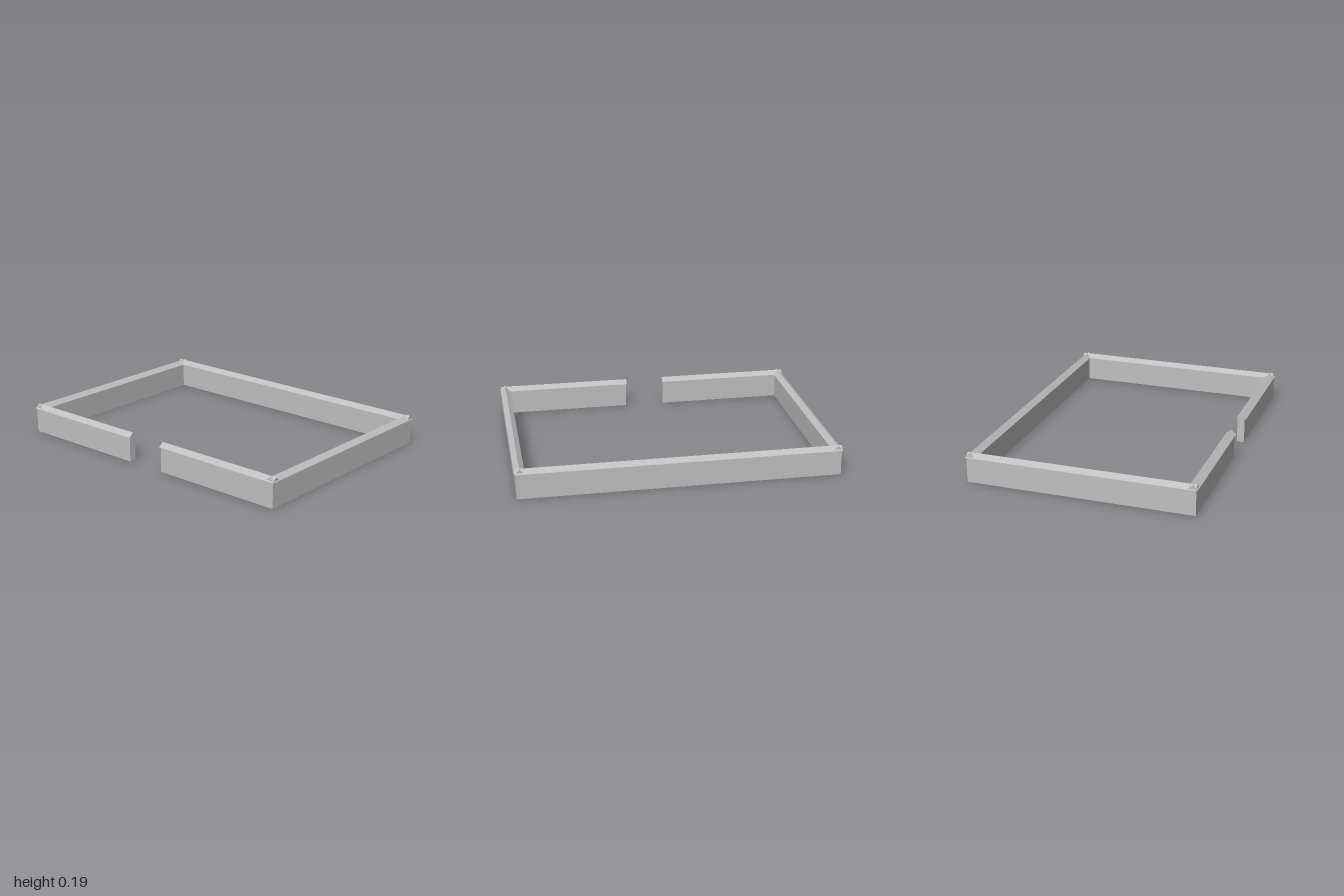
import * as THREE from 'three';

const WALL_H = 0.16, WALL_T = 0.047, CAP_W = 0.064, CAP_H = 0.026;
const CX = 0.968, CZ = 0.688; // wall centre lines
const GAP = 0.131, CAP_GAP = 0.126; // half widths of the entrance

export function createModel() {
  const group = new THREE.Group();
  const stone = new THREE.MeshStandardMaterial({ color: 0xc0c0c0 });
  stone.name = 'grey stone';

  // Gabled coping profile, extruded along the wall
  const gable = new THREE.Shape([
    new THREE.Vector2(-CAP_W / 2, 0),
    new THREE.Vector2(CAP_W / 2, 0),
    new THREE.Vector2(0, CAP_H),
  ]);

  const add = (name, geometry) => {
    const mesh = new THREE.Mesh(geometry, stone);
    mesh.name = name;
    group.add(mesh);
  };

  // One straight run of wall with its coping, along x or z
  const run = (name, axis, offset, wall, cap) => {
    const length = wall[1] - wall[0];
    const box = new THREE.BoxGeometry(WALL_T, WALL_H, length);
    box.translate(0, WALL_H / 2, (wall[0] + wall[1]) / 2);
    const top = new THREE.ExtrudeGeometry(gable, { depth: cap[1] - cap[0], bevelEnabled: false });
    top.translate(0, WALL_H, cap[0]);
    for (const g of [box, top]) {
      if (axis === 'x') g.rotateY(Math.PI / 2).translate(0, 0, offset);
      else g.translate(offset, 0, 0);
    }
    add(name + 'Wall', box);
    add(name + 'Coping', top);
  };

  const outer = CX + WALL_T / 2;
  run('back', 'x', -CZ, [-outer, outer], [-0.995, 0.995]);
  run('frontLeft', 'x', CZ, [GAP, outer], [CAP_GAP, 0.995]);
  run('frontRight', 'x', CZ, [-outer, -GAP], [-0.995, -CAP_GAP]);

  // Side runs fit between front and back, their copings cross at the corners
  const inner = CZ - WALL_T / 2;
  run('left', 'z', CX, [-inner, inner], [-0.712, 0.712]);
  run('right', 'z', -CX, [-inner, inner], [-0.712, 0.712]);

  return group;
}
